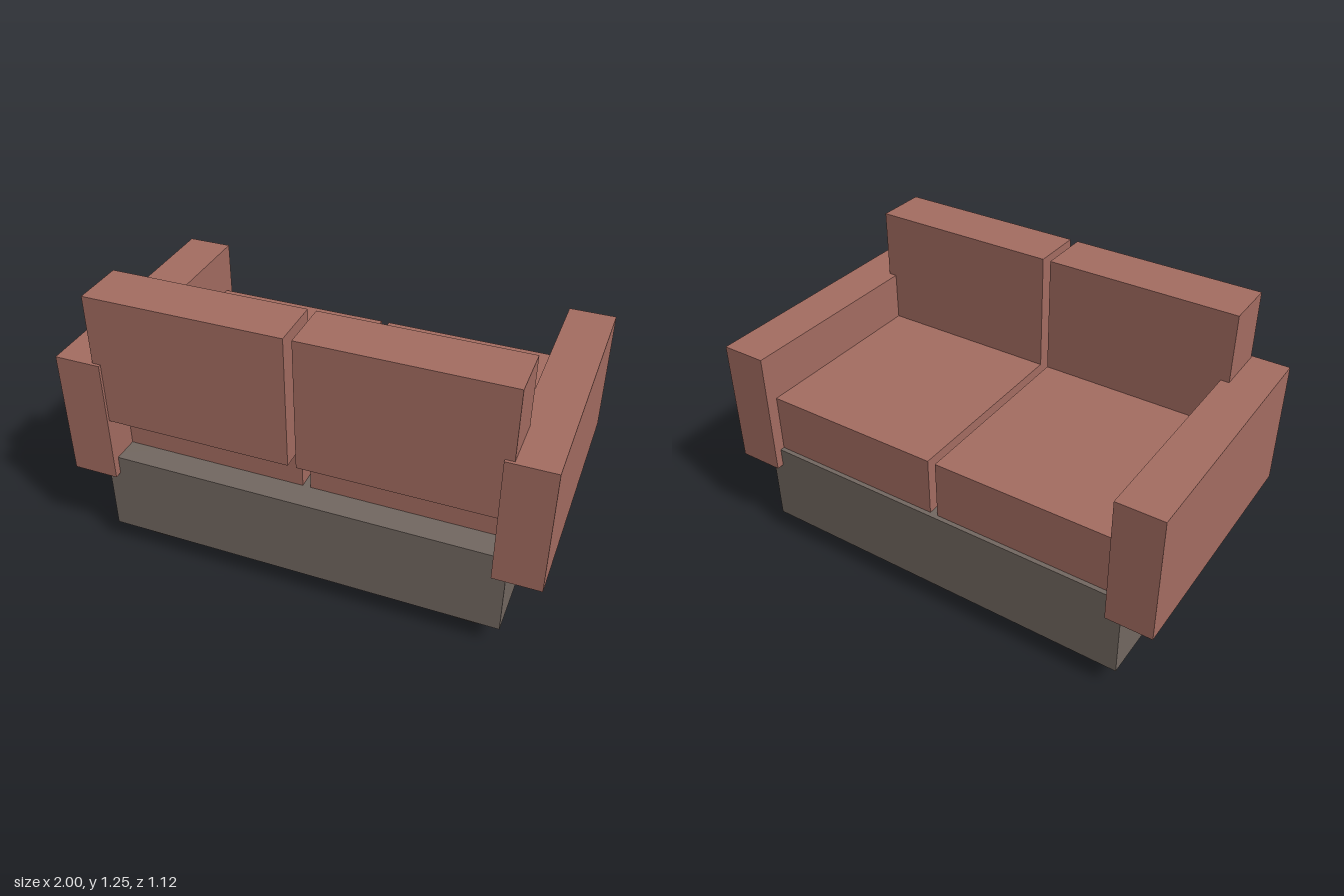
import * as THREE from 'three';

export function createModel() {
  const sofa = new THREE.Group();
  sofa.name = 'sofa';
  const fabric = new THREE.MeshStandardMaterial({ color: 0xa56d62 });
  const frame = new THREE.MeshStandardMaterial({ color: 0x736861 });

  // Box given by its [min, max] range on each axis
  function block(name, material, [x0, x1], [y0, y1], [z0, z1]) {
    const mesh = new THREE.Mesh(new THREE.BoxGeometry(x1 - x0, y1 - y0, z1 - z0), material);
    mesh.position.set((x0 + x1) / 2, (y0 + y1) / 2, (z0 + z1) / 2);
    mesh.name = name;
    sofa.add(mesh);
  }
  const mirror = ([a, b], side) => (side > 0 ? [a, b] : [-b, -a]);

  block('base', frame, [-0.854, 0.854], [0.107, 0.478], [-0.527, 0.527]);

  for (const side of [1, -1]) {
    const label = side > 0 ? 'left' : 'right';
    const cushionX = mirror([0.017, 0.84], side);

    // The seat opens towards -z, with the backrest on the +z side
    block(label + 'Armrest', fabric, mirror([0.804, 1], side), [0.396, 0.948], [-0.559, 0.559]);
    block(label + 'SeatCushion', fabric, cushionX, [0.478, 0.735], [-0.507, 0.412]);
    // The back cushion sinks slightly into the seat cushion
    block(label + 'BackCushion', fabric, cushionX, [0.679, 1.245], [0.323, 0.546]);

    // Short square feet
    for (const end of [1, -1]) {
      block(label + (end > 0 ? 'RearLeg' : 'FrontLeg'), frame,
        mirror([0.648, 0.745], side), [0, 0.107], mirror([0.334, 0.431], end));
    }
  }
  return sofa;
}
